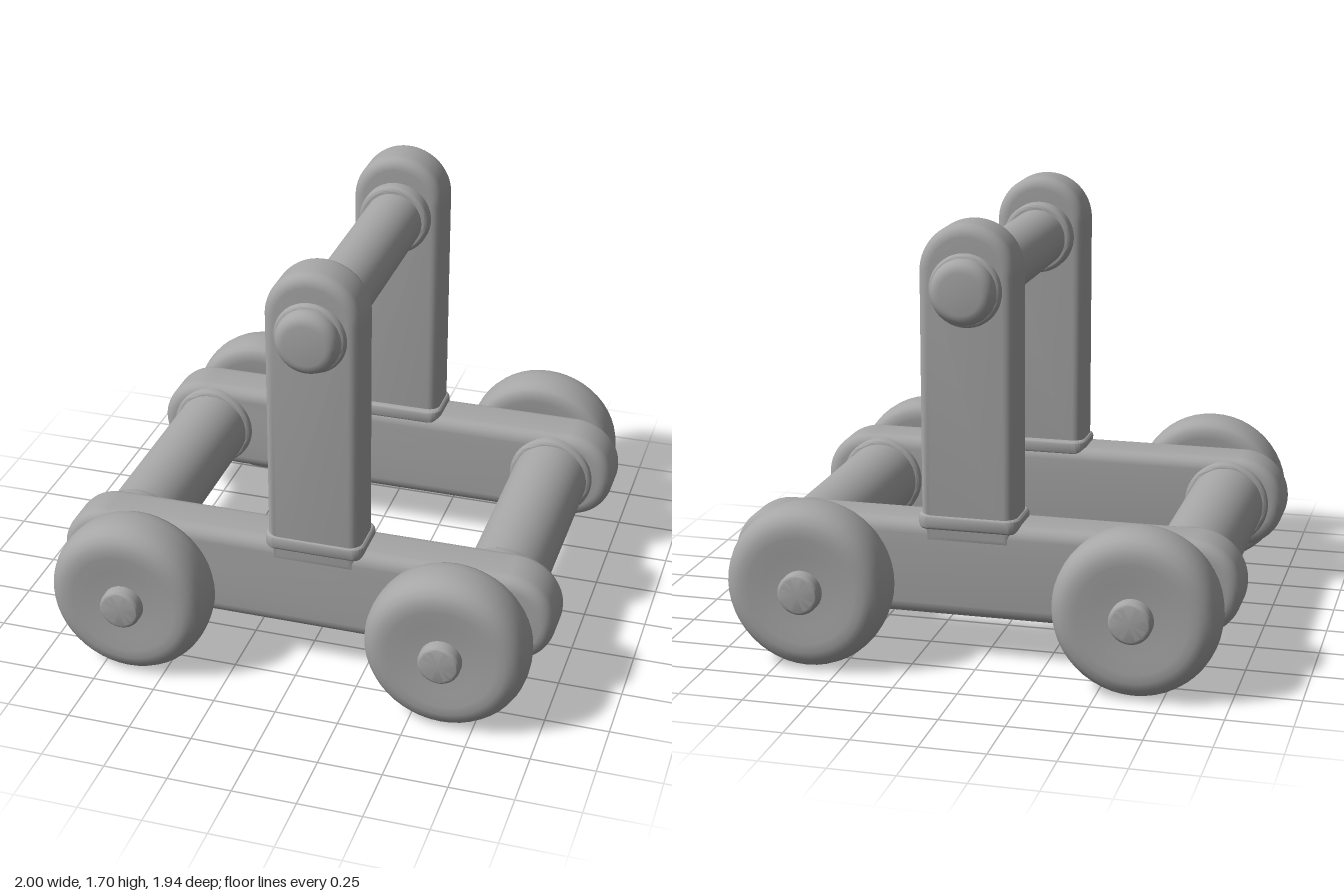
import * as THREE from 'three';
import { toCreasedNormals } from 'three/addons/utils/BufferGeometryUtils.js';

const grey = new THREE.MeshStandardMaterial({ color: 0xa6a6a6 });
grey.name = 'plain grey';

function add(parent, name, geometry, x = 0, y = 0, z = 0) {
  const mesh = new THREE.Mesh(toCreasedNormals(geometry, 0.75), grey);
  mesh.name = name;
  mesh.position.set(x, y, z);
  parent.add(mesh);
  return mesh;
}

// Rounded bar, extruded along z and centred on z = 0; the bevel stays inside the outline.
function softExtrude(shape, depth, bevel) {
  const geometry = new THREE.ExtrudeGeometry(shape, {
    depth: depth - 2 * bevel, bevelEnabled: true, bevelThickness: bevel,
    bevelSize: bevel, bevelOffset: -bevel, bevelSegments: 5, curveSegments: 24,
  });
  return geometry.translate(0, 0, -depth / 2 + bevel);
}

// Turned part with its axis along z; profile points are [radius, z].
function turned(profile) {
  const points = profile.map(([r, z]) => new THREE.Vector2(r, z));
  return new THREE.LatheGeometry(points, 48).rotateX(Math.PI / 2);
}

// Rounded disc or rod from z0 to z1.
function disc(radius, z0, z1, round) {
  const profile = [[0, z0]];
  for (let i = 0; i <= 5; i++) {
    const a = (i / 5) * Math.PI / 2;
    profile.push([radius - round + round * Math.sin(a), z0 + round - round * Math.cos(a)]);
  }
  for (let i = 0; i <= 5; i++) {
    const a = (i / 5) * Math.PI / 2;
    profile.push([radius - round + round * Math.cos(a), z1 - round + round * Math.sin(a)]);
  }
  profile.push([0, z1]);
  return turned(profile);
}

// Side rail outline with round ends
function railShape() {
  const r = 0.19, s = new THREE.Shape();
  s.moveTo(-1 + r, -r);
  s.lineTo(1 - r, -r);
  s.absarc(1 - r, 0, r, -Math.PI / 2, Math.PI / 2, false);
  s.lineTo(-1 + r, r);
  s.absarc(-1 + r, 0, r, Math.PI / 2, Math.PI * 1.5, false);
  return s;
}

// Upright outline with a round top
function postShape() {
  const r = 0.187, s = new THREE.Shape();
  s.moveTo(-r, 0.45);
  s.lineTo(r, 0.45);
  s.lineTo(r, 1.515);
  s.absarc(0, 1.515, r, 0, Math.PI, false);
  s.lineTo(-r, 0.45);
  return s;
}

// Collar outline at the foot of an upright
function collarShape(w, d, r) {
  const s = new THREE.Shape();
  s.absarc(w - r, d - r, r, 0, Math.PI / 2, false);
  s.absarc(-w + r, d - r, r, Math.PI / 2, Math.PI, false);
  s.absarc(-w + r, -d + r, r, Math.PI, Math.PI * 1.5, false);
  s.absarc(w - r, -d + r, r, Math.PI * 1.5, Math.PI * 2, false);
  return s;
}

const POST_X = 0.05, RAIL_Y = 0.36, BAR_Y = 1.455;

function buildSide(parent, side) {
  // Frame side
  add(parent, 'sideRail', softExtrude(railShape(), 0.22, 0.05), 0, RAIL_Y, side * 0.56);
  add(parent, 'upright', softExtrude(postShape(), 0.195, 0.045), POST_X, 0, side * 0.575);
  const collar = softExtrude(collarShape(0.2, 0.112, 0.05), 0.06, 0.015).rotateX(-Math.PI / 2);
  add(parent, 'uprightCollar', collar, POST_X, 0.55, side * 0.567);

  // Knob on the outside of the upright, with its flange
  const flip = side > 0 ? 0 : Math.PI;
  const knob = new THREE.Group();
  knob.name = 'handleKnob';
  knob.position.set(POST_X, BAR_Y, 0);
  knob.rotation.y = flip;
  add(knob, 'knobFlange', disc(0.14, 0.6, 0.695, 0.02));
  add(knob, 'knobCap', disc(0.125, 0.6, 0.75, 0.045));
  parent.add(knob);

  // Wheels
  for (const x of [-0.64, 0.63]) {
    const wheel = new THREE.Group();
    wheel.name = 'wheel';
    wheel.position.set(x, 0.32, 0);
    wheel.rotation.y = flip;
    add(wheel, 'tyre', turned([
      [0, 0.715], [0.2, 0.71], [0.245, 0.703], [0.275, 0.704], [0.298, 0.715], [0.31, 0.738],
      [0.317, 0.775], [0.32, 0.815], [0.318, 0.85], [0.31, 0.88], [0.297, 0.903],
      [0.275, 0.922], [0.245, 0.931], [0.21, 0.931], [0.15, 0.924], [0, 0.92],
    ]));
    add(wheel, 'hub', disc(0.082, 0.85, 0.972, 0.018));
    parent.add(wheel);
  }
}

// Round bar between the two sides, with a flange at each end
function buildCrossbar(parent, name, x, y, radius, flange) {
  const bar = new THREE.Group();
  bar.name = name;
  bar.position.set(x, y, 0);
  add(bar, 'rod', new THREE.CylinderGeometry(radius, radius, 1.06, 48).rotateX(Math.PI / 2));
  add(bar, 'frontFlange', disc(flange, 0.422, 0.52, 0.018));
  add(bar, 'backFlange', disc(flange, -0.52, -0.422, 0.018));
  parent.add(bar);
}

export function createModel() {
  const model = new THREE.Group();
  model.name = 'pushCart';
  for (const side of [1, -1]) buildSide(model, side);
  buildCrossbar(model, 'handleBar', POST_X, BAR_Y, 0.119, 0.145);
  buildCrossbar(model, 'rightCrossbar', -0.765, 0.363, 0.156, 0.175);
  buildCrossbar(model, 'leftCrossbar', 0.745, 0.363, 0.156, 0.175);
  return model;
}
